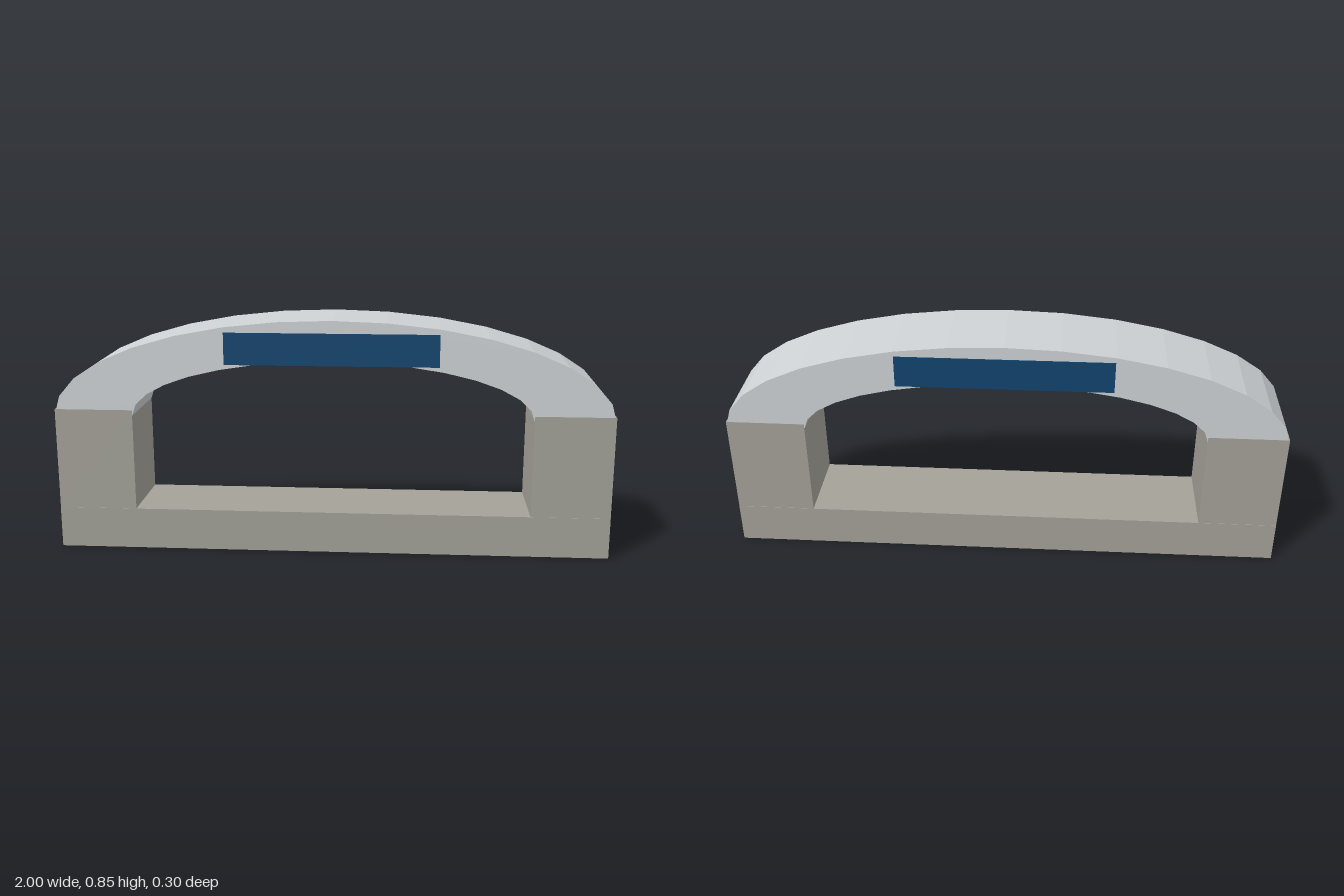
import * as THREE from 'three';

const mat = (name, color, flatShading = false) => {
  const m = new THREE.MeshStandardMaterial({ color, flatShading });
  m.name = name;
  return m;
};

export function createModel() {
  const group = new THREE.Group();
  const stone = mat('warm grey stone', 0xa3a198);
  const metal = mat('pale grey metal', 0xced2d5, true);
  const blue = mat('dark blue', 0x10446f);

  const add = (name, geometry, material, x = 0, y = 0, z = 0) => {
    const mesh = new THREE.Mesh(geometry, material);
    mesh.name = name;
    mesh.position.set(x, y, z);
    group.add(mesh);
  };

  // Base slab and the two side pillars
  add('base', new THREE.BoxGeometry(2, 0.15, 0.302), stone, 0, 0.075);
  for (const [name, side] of [['leftPillar', 1], ['rightPillar', -1]]) {
    add(name, new THREE.BoxGeometry(0.283, 0.38, 0.299), stone, side * 0.8585, 0.33);
  }

  // Faceted half-ellipse arch, its feet sunk slightly into the pillars
  const steps = 16, centreY = 0.5, depth = 0.297;
  const points = [];
  for (let i = 0; i <= steps; i++) {
    const a = (i / steps) * Math.PI;
    points.push(new THREE.Vector2(Math.cos(a), centreY + 0.35 * Math.sin(a)));
  }
  for (let i = steps; i >= 0; i--) {
    const a = (i / steps) * Math.PI;
    points.push(new THREE.Vector2(0.717 * Math.cos(a), centreY + 0.206 * Math.sin(a)));
  }
  const arch = new THREE.ExtrudeGeometry(new THREE.Shape(points), { depth, bevelEnabled: false });
  add('arch', arch, metal, 0, 0, -depth / 2);

  // Sign block running through the crown of the arch
  add('signPanel', new THREE.BoxGeometry(0.76, 0.115, 0.302), blue, 0, 0.7475);

  return group;
}
